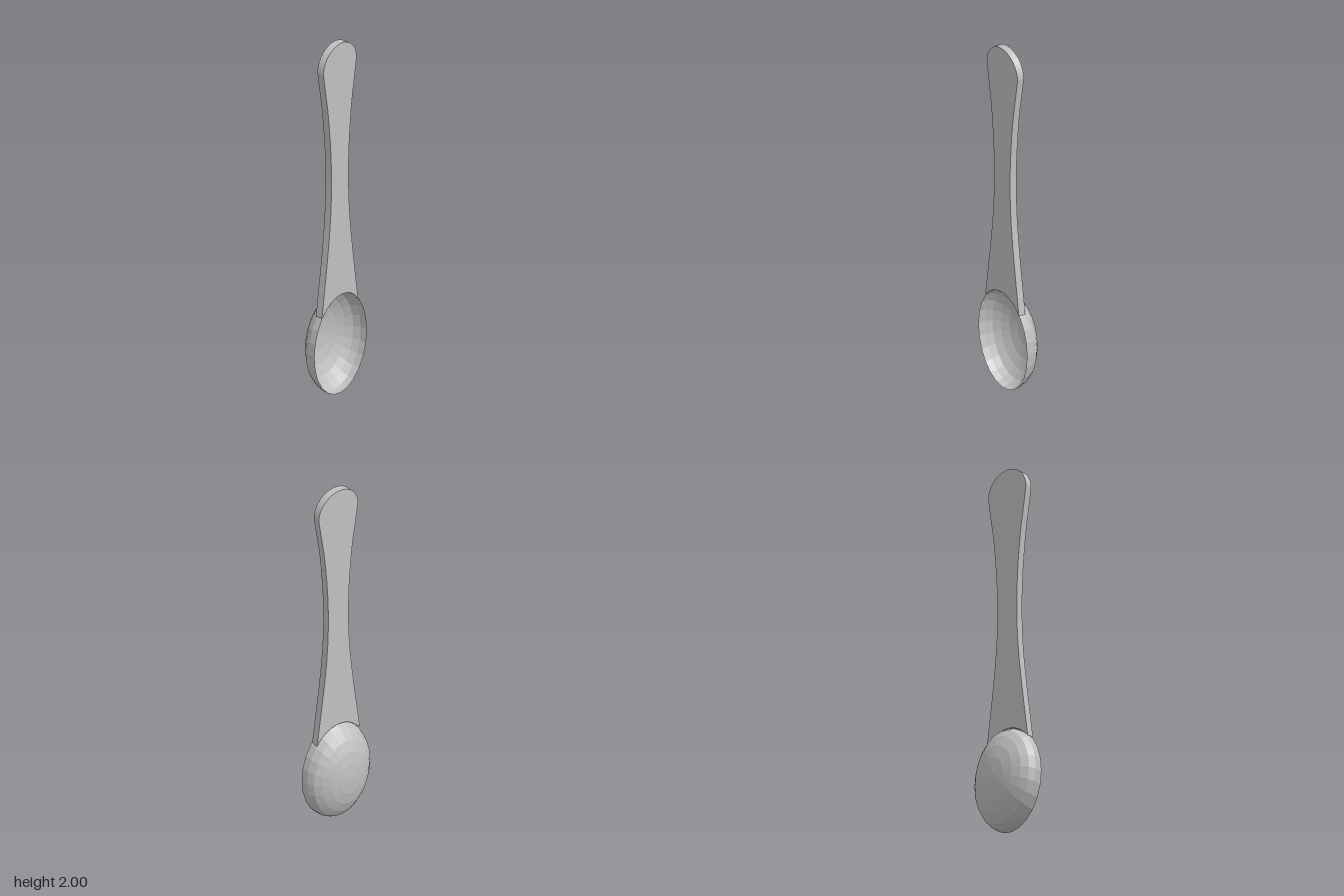
import * as THREE from 'three';

const BOWL = { y: 0.28, rx: 0.2025, ry: 0.28, rimZ: 0.075 };

// Open shell: [fraction of rim radius, depth behind the rim], from pole to rim
function makeBowl(material) {
  const profile = [
    [0, 0.15], [0.32, 0.143], [0.56, 0.128], [0.76, 0.104],
    [0.91, 0.075], [0.985, 0.039], [1, 0],
  ].map(([r, depth]) => new THREE.Vector2(r, -depth));
  const geometry = new THREE.LatheGeometry(profile, 24);
  geometry.rotateX(Math.PI / 2); // lathe axis now points to the front
  geometry.scale(BOWL.rx, BOWL.ry, 1);
  geometry.translate(0, BOWL.y, BOWL.rimZ);
  const bowl = new THREE.Mesh(geometry, material);
  bowl.name = 'bowl';
  return bowl;
}

// Flat handle: waisted sides, round tip, lower end following the bowl rim
function makeHandle(material) {
  const cx = -0.005, tipY = 1.872, tipR = 0.128;
  const side = new THREE.SplineCurve([
    [0.14, 0.482], [0.121, 0.62], [0.097, 0.8], [0.075, 1.0], [0.066, 1.2],
    [0.071, 1.4], [0.09, 1.62], [0.113, 1.77], [tipR, tipY],
  ].map(([x, y]) => new THREE.Vector2(x, y))).getPoints(24);

  const outline = side.map(p => new THREE.Vector2(cx + p.x, p.y));
  for (let i = 1; i < 20; i++) {
    const a = Math.PI * i / 20;
    outline.push(new THREE.Vector2(cx + tipR * Math.cos(a), tipY + tipR * Math.sin(a)));
  }
  for (const p of side.slice().reverse()) outline.push(new THREE.Vector2(cx - p.x, p.y));
  for (let i = 1; i < 12; i++) {
    const x = cx - 0.14 + 0.28 * i / 12;
    outline.push(new THREE.Vector2(x, BOWL.y + BOWL.ry * Math.sqrt(1 - (x / BOWL.rx) ** 2)));
  }

  const geometry = new THREE.ExtrudeGeometry(new THREE.Shape(outline), { depth: 0.04, bevelEnabled: false });
  geometry.translate(0, 0, BOWL.rimZ - 0.04);
  const handle = new THREE.Mesh(geometry, material);
  handle.name = 'handle';
  return handle;
}

export function createModel() {
  const metal = new THREE.MeshStandardMaterial({ color: 0xc0c0c0, flatShading: true, side: THREE.DoubleSide });
  metal.name = 'light grey metal';
  const spoon = new THREE.Group();
  spoon.name = 'spoon';
  spoon.add(makeBowl(metal), makeHandle(metal));
  return spoon;
}
